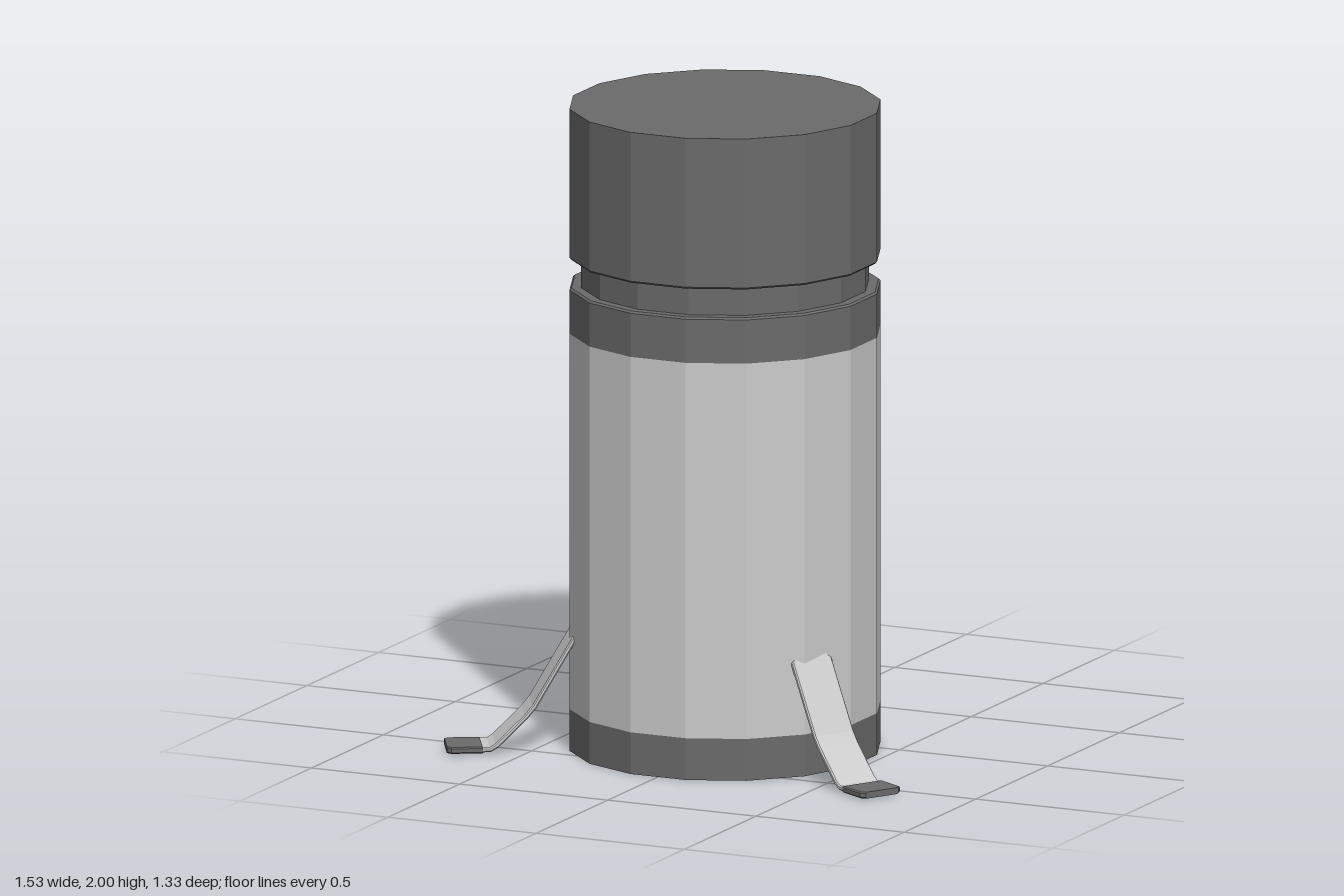
import * as THREE from 'three';

const SIDES = 16;
const R = 0.477;          // corner radius of the 16-sided body
const CENTRE_Z = 0.183;   // body axis, offset so the tripod is centred

const light = new THREE.MeshStandardMaterial({ color: 0xcccccc, flatShading: true });
const dark = new THREE.MeshStandardMaterial({ color: 0x6b6b6b, flatShading: true });

function part(name, geometry, material) {
  const flat = geometry.index ? geometry.toNonIndexed() : geometry;
  flat.computeVertexNormals();
  const mesh = new THREE.Mesh(flat, material);
  mesh.name = name;
  return mesh;
}

// Faceted turned part from [radius, y] points, bottom to top
function turned(name, profile, material) {
  const points = profile.map(([r, y]) => new THREE.Vector2(r, y));
  return part(name, new THREE.LatheGeometry(points, SIDES, Math.PI / SIDES, Math.PI * 2), material);
}

// Flat strip running outward along z; stations are [z, y, halfWidth]
function strip(stations, thickness) {
  const h = thickness / 2, c = 0.004;
  const rings = stations.map(([z, y, w], i) => {
    const a = stations[Math.max(i - 1, 0)], b = stations[Math.min(i + 1, stations.length - 1)];
    const len = Math.hypot(b[0] - a[0], b[1] - a[1]);
    const nz = -(b[1] - a[1]) / len, ny = (b[0] - a[0]) / len;
    // Chamfered rectangle section
    const section = [[w, -h + c], [w, h - c], [w - c, h], [-w + c, h],
      [-w, h - c], [-w, -h + c], [-w + c, -h], [w - c, -h]];
    return section.map(([s, t]) => [s, y + t * ny, z + t * nz]);
  });
  const n = 8, last = rings.length - 1, index = [];
  for (let i = 0; i < last; i++) {
    for (let j = 0; j < n; j++) {
      const a = i * n + j, b = i * n + (j + 1) % n;
      index.push(a, b, a + n, b, b + n, a + n);
    }
  }
  // End caps
  for (let j = 1; j < n - 1; j++) {
    index.push(0, j + 1, j);
    index.push(last * n, last * n + j, last * n + j + 1);
  }
  const geometry = new THREE.BufferGeometry();
  geometry.setAttribute('position', new THREE.Float32BufferAttribute(rings.flat(2), 3));
  geometry.setIndex(index);
  return geometry;
}

function createLeg() {
  const leg = new THREE.Group();
  // Bent metal strap with a rounded upper end
  leg.add(part('legStrap', strip([
    [0.458, 0.368, 0.058], [0.465, 0.355, 0.072],
    [0.585, 0.148, 0.072], [0.61, 0.117, 0.072],
    [0.70, 0.028, 0.072], [0.72, 0.016, 0.072], [0.76, 0.015, 0.072],
  ], 0.015), light));
  // Dark foot pad with clipped outer corners
  leg.add(part('footPad', strip([
    [0.743, 0.015, 0.073], [0.838, 0.015, 0.073], [0.851, 0.015, 0.06],
  ], 0.02), dark));
  return leg;
}

export function createModel() {
  const model = new THREE.Group();
  model.name = 'canister';

  const body = new THREE.Group();
  body.name = 'body';
  body.add(turned('base', [[0, 0], [R, 0], [R, 0.13]], dark));
  body.add(turned('barrel', [[R, 0.13], [R, 1.3]], light));
  // Collar, groove and cap
  const neck = 0.441, e = 0.006;
  body.add(turned('cap', [
    [R, 1.3], [R, 1.442 - e], [R - e, 1.442], [neck, 1.442],
    [neck, 1.53], [R - e, 1.53], [R, 1.53 + e], [R, 2], [0, 2],
  ], dark));
  model.add(body);

  // Three legs, one pointing straight back
  ['backLeg', 'rightLeg', 'leftLeg'].forEach((name, i) => {
    const leg = createLeg();
    leg.name = name;
    leg.rotation.y = Math.PI + i * Math.PI * 2 / 3;
    model.add(leg);
  });

  model.position.z = CENTRE_Z;
  const group = new THREE.Group();
  group.name = 'model';
  group.add(model);
  return group;
}
